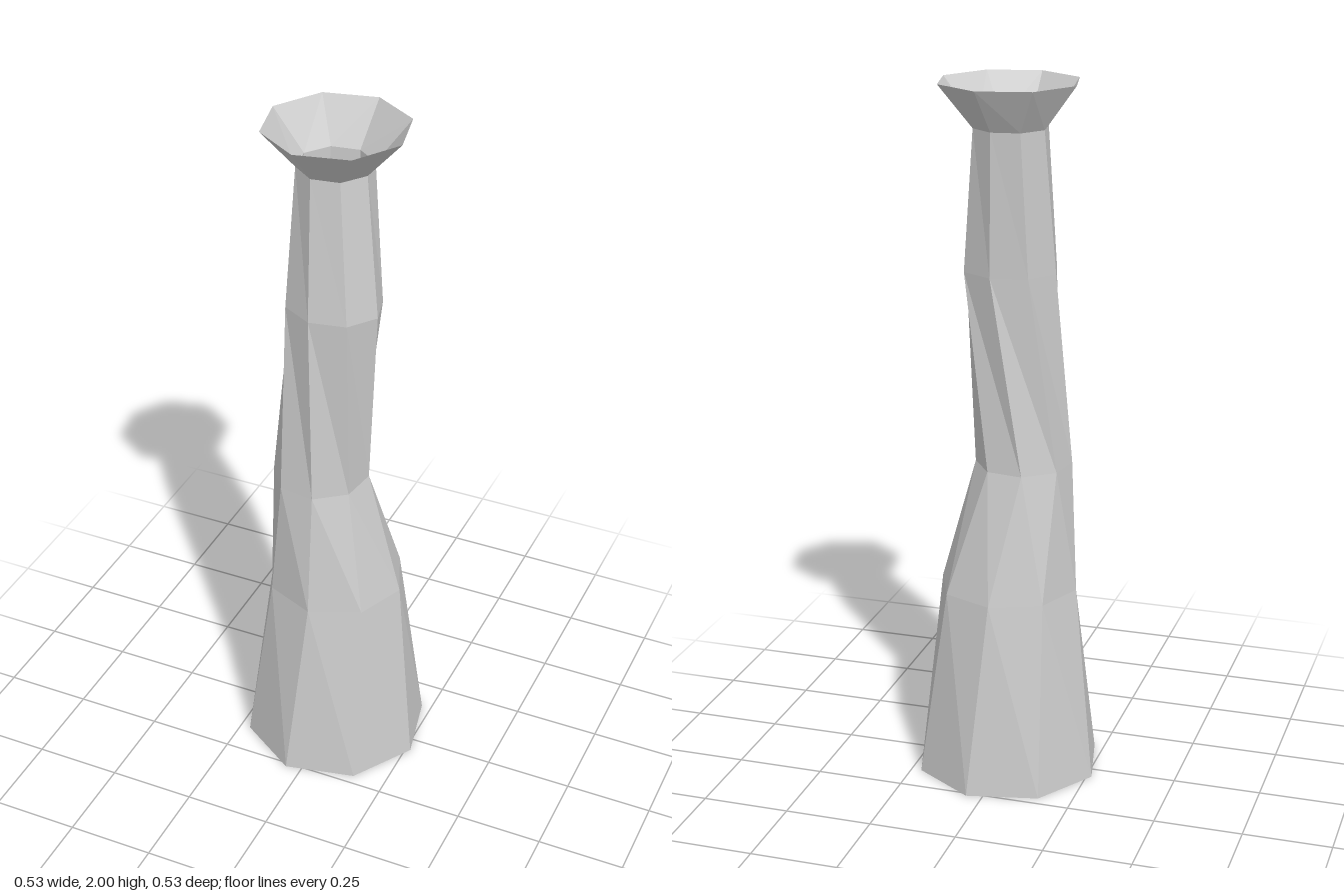
import * as THREE from 'three';

const SIDES = 8;

// Ring settings: height, centre x/z, radius x/z, twist in degrees
const RINGS = [
  { y: 0, x: 0, z: 0, rx: 0.269, rz: 0.269, twist: 10 },
  { y: 0.56, x: 0, z: 0, rx: 0.2, rz: 0.2, twist: 0 },
  { y: 0.925, x: -0.038, z: 0.02, rx: 0.136, rz: 0.14, twist: -14 },
  { y: 1.48, x: 0, z: 0.015, rx: 0.138, rz: 0.118, twist: 10 },
  { y: 1.88, x: -0.01, z: -0.016, rx: 0.105, rz: 0.105, twist: 14 },
  { y: 2, x: 0, z: 0, rx: 0.2, rz: 0.2, twist: 10 },
];

// Skin a stack of rings with triangles; optionally close the lowest ring
function skin(rings, closeBottom) {
  const positions = [];
  const index = [];
  for (const r of rings) {
    for (let k = 0; k < SIDES; k++) {
      const a = THREE.MathUtils.degToRad(r.twist + (k * 360) / SIDES);
      positions.push(r.x + r.rx * Math.cos(a), r.y, r.z + r.rz * Math.sin(a));
    }
  }
  for (let i = 0; i < rings.length - 1; i++) {
    for (let k = 0; k < SIDES; k++) {
      const n = (k + 1) % SIDES;
      const low = i * SIDES;
      const high = low + SIDES;
      index.push(low + k, high + k, high + n, low + k, high + n, low + n);
    }
  }
  if (closeBottom) {
    for (let k = 1; k < SIDES - 1; k++) index.push(0, k, k + 1);
  }
  const geometry = new THREE.BufferGeometry();
  geometry.setAttribute('position', new THREE.Float32BufferAttribute(positions, 3));
  geometry.setIndex(index);
  const flat = geometry.toNonIndexed();
  flat.computeVertexNormals();
  return flat;
}

export function createModel() {
  const group = new THREE.Group();
  group.name = 'chimneyStalk';
  const material = new THREE.MeshStandardMaterial({
    color: 0xcccccc,
    flatShading: true,
    side: THREE.DoubleSide,
  });

  // Hollow, crooked stalk with a closed base
  const stalk = new THREE.Mesh(skin(RINGS.slice(0, 5), true), material);
  stalk.name = 'stalk';

  // Open flared rim
  const rim = new THREE.Mesh(skin(RINGS.slice(4), false), material);
  rim.name = 'flaredRim';

  group.add(stalk, rim);
  return group;
}
